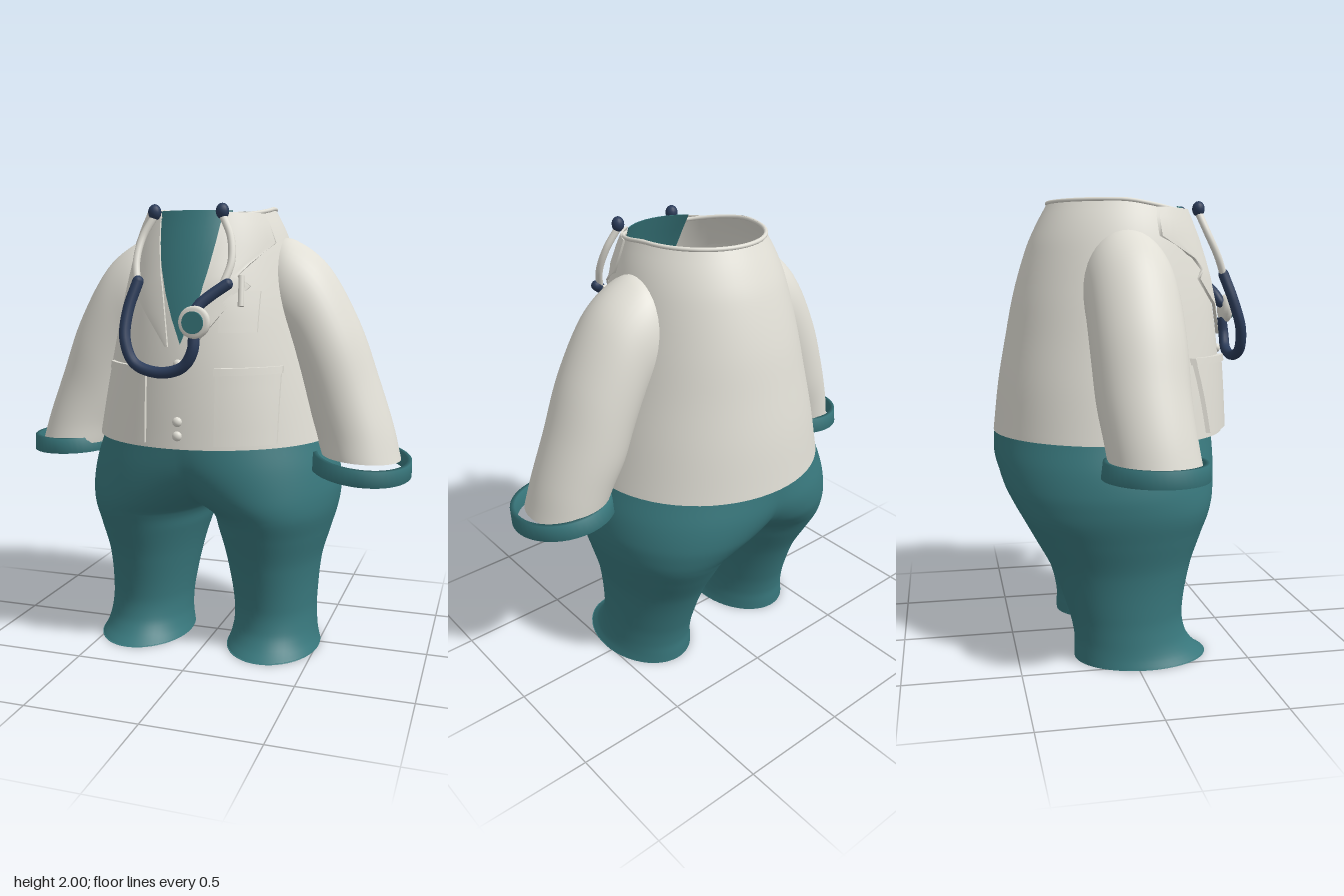
import * as THREE from 'three';
import { mergeGeometries, mergeVertices } from 'three/addons/utils/BufferGeometryUtils.js';

const CX = -0.02; // body centre line
const mat = (name, color) => new THREE.MeshStandardMaterial({ name, color, side: THREE.DoubleSide });

// Smooth lookup in rows of [y, value, value, ...]
function sample(rows, y) {
  const n = rows.length - 1;
  y = THREE.MathUtils.clamp(y, rows[0][0], rows[n][0]);
  let i = 0;
  while (i < n - 1 && y > rows[i + 1][0]) i++;
  const h = rows[i + 1][0] - rows[i][0], t = (y - rows[i][0]) / h;
  const slope = (k, c) => {
    const p = rows[Math.max(k - 1, 0)], q = rows[Math.min(k + 1, n)];
    return (q[c] - p[c]) / (q[0] - p[0]);
  };
  return rows[0].slice(1).map((_, j) => {
    const c = j + 1, t2 = t * t, t3 = t2 * t;
    return (2 * t3 - 3 * t2 + 1) * rows[i][c] + (t3 - 2 * t2 + t) * h * slope(i, c)
      + (3 * t2 - 2 * t3) * rows[i + 1][c] + (t3 - t2) * h * slope(i + 1, c);
  });
}

// Grid surface from fn(u, v) -> [x, y, z]
function surface(nu, nv, fn) {
  const pos = [], idx = [];
  for (let j = 0; j <= nv; j++) for (let i = 0; i <= nu; i++) pos.push(...fn(i / nu, j / nv));
  for (let j = 0; j < nv; j++) for (let i = 0; i < nu; i++) {
    const a = j * (nu + 1) + i, b = a + nu + 1;
    idx.push(a, a + 1, b, b, a + 1, b + 1);
  }
  const g = new THREE.BufferGeometry();
  g.setAttribute('position', new THREE.Float32BufferAttribute(pos, 3));
  g.setIndex(idx);
  return g;
}
function smooth(g) {
  g = mergeVertices(g, 1e-4);
  g.computeVertexNormals();
  return g;
}

// Coat sections: y, half width, front z, back z
const COAT = [
  [0.98, 0.545, 0.48, -0.57], [1.2, 0.5, 0.47, -0.545], [1.4, 0.455, 0.455, -0.51], [1.6, 0.41, 0.425, -0.47],
  [1.8, 0.36, 0.37, -0.41], [1.9, 0.325, 0.335, -0.365], [2, 0.275, 0.3, -0.31],
];
function coatPoint(phi, y) {
  const [a, f, b] = sample(COAT, y);
  return [CX + a * Math.sin(phi), y, (f + b) / 2 + (f - b) / 2 * Math.cos(phi)];
}
function frontZ(x, y) {
  const [a, f, b] = sample(COAT, y);
  return (f + b) / 2 + (f - b) / 2 * Math.sqrt(Math.max(0.05, 1 - ((x - CX) / a) ** 2));
}
const NECK = 10 * Math.PI / 64; // half angle of the neckline opening
function coatTop(phi) {
  const p = Math.min(phi, 2 * Math.PI - phi);
  if (p < NECK) return 1.42 + 0.53 * p / NECK;
  return 1.95 + 0.05 * Math.min(1, (p - NECK) / (Math.PI / 2 - NECK));
}

// Thin plate laid over the coat front; rows are [y, x from, x to] off the centre line
function plate(rows, thick, lift, side = 1) {
  const n = rows.length - 1;
  const g = new THREE.BoxGeometry(1, 1, thick, 10, n), p = g.attributes.position;
  for (let i = 0; i < p.count; i++) {
    const [y, x0, x1] = rows[Math.round((p.getY(i) + 0.5) * n)];
    const u = p.getX(i) + 0.5;
    const x = CX + (side > 0 ? x0 + (x1 - x0) * u : -x1 + (x1 - x0) * u);
    p.setXYZ(i, x, y, frontZ(x, y) + lift + p.getZ(i));
  }
  g.computeVertexNormals();
  return g;
}
function rect(x0, x1, y0, y1) {
  return [0, 1, 2, 3, 4].map(i => [y0 + (y1 - y0) * i / 4, x0, x1]);
}

// Trouser sections: y, outer x, inner x (negative above the crotch), front z, back z
const LEG = [
  [0, 0.53, 0.1, 0.34, -0.25], [0.04, 0.515, 0.112, 0.29, -0.25], [0.1, 0.505, 0.12, 0.25, -0.25],
  [0.2, 0.5, 0.115, 0.235, -0.27], [0.4, 0.515, 0.078, 0.27, -0.34], [0.55, 0.555, 0.035, 0.32, -0.42],
  [0.64, 0.58, 0, 0.355, -0.47], [0.7, 0.59, -0.1, 0.38, -0.505], [0.77, 0.592, -0.24, 0.4, -0.54],
  [0.87, 0.575, -0.41, 0.42, -0.565], [0.98, 0.537, -0.537, 0.43, -0.567],
];
function legSide(s) {
  return surface(48, 70, (u, v) => {
    const y = 0.98 * v, [o, i, f, b] = sample(LEG, y);
    const c = (o + i) / 2, a = (o - i) / 2;
    const end = Math.acos(Math.max(-1, -c / a)); // stop at the centre plane
    const t = (1 - 2 * u) * end * s;
    return [CX + s * (c + a * Math.cos(t)), y, (f + b) / 2 + (f - b) / 2 * Math.sin(t)];
  });
}

// Sleeve sections: step, outer x, outer y, inner x, inner y, half depth, z centre
const SLEEVE = [
  [0, 0.16, 1.83, 0.14, 1.64, 0.08, -0.02], [1, 0.27, 1.86, 0.24, 1.45, 0.16, -0.02],
  [2, 0.37, 1.855, 0.32, 1.38, 0.195, -0.015], [3, 0.52, 1.74, 0.36, 1.32, 0.2, -0.01],
  [4, 0.66, 1.5, 0.4, 1.22, 0.2, -0.005], [5, 0.755, 1.25, 0.44, 1.1, 0.195, 0],
  [6, 0.825, 1.05, 0.485, 1, 0.19, 0.015], [7, 0.865, 0.9, 0.515, 0.92, 0.19, 0.03],
];
function sleeve(s) {
  return smooth(surface(40, 42, (u, v) => {
    const [ox, oy, ix, iy, d, z] = sample(SLEEVE, v * 7);
    const t = u * Math.PI * 2 * s, k = (1 + Math.cos(t)) / 2;
    return [s * (ix + (ox - ix) * k) - 0.008, iy + (oy - iy) * k, z + d * Math.sin(t)];
  }));
}

export function createModel() {
  const model = new THREE.Group();
  const white = mat('coat white', 0xe0ded5), teal = mat('scrub teal', 0x38777c), navy = mat('tubing navy', 0x2b3c5a);
  const add = (name, geo, m, x = 0, y = 0, z = 0) => {
    const mesh = new THREE.Mesh(geo, m);
    mesh.name = name;
    mesh.position.set(x, y, z);
    model.add(mesh);
    return mesh;
  };
  const tube = (name, pts, r, m) => add(name, new THREE.TubeGeometry(
    new THREE.CatmullRomCurve3(pts.map(p => new THREE.Vector3(...p))), 48, r, 12), m);

  // Trousers with closed leg bottoms
  add('trousers', smooth(mergeGeometries([legSide(1), legSide(-1)])), teal);
  for (const s of [1, -1]) {
    const sole = add('legBottom', new THREE.CircleGeometry(1, 40), teal, CX + s * 0.315, 0.004, 0.045);
    sole.rotation.x = Math.PI / 2;
    sole.scale.set(0.215, 0.295, 1);
  }

  // Coat body, neck rim and shirt
  add('coatBody', smooth(surface(64, 36, (u, v) => {
    const phi = u * Math.PI * 2;
    return coatPoint(phi, 0.98 + (coatTop(phi) - 0.98) * v);
  })), white);
  const rim = [];
  for (let i = 0; i <= 32; i++) {
    const phi = NECK + (2 * Math.PI - 2 * NECK) * i / 32;
    rim.push(coatPoint(phi, coatTop(phi) - 0.008));
  }
  tube('neckRim', rim, 0.009, white);
  add('shirt', plate([[1.38, -0.03, 0.03], [1.5, -0.08, 0.08], [1.65, -0.12, 0.12], [1.8, -0.15, 0.15],
    [1.9, -0.16, 0.16], [1.975, -0.165, 0.165]], 0.006, -0.012), teal);

  // Lapels, pockets and sleeves
  const lapel = [[1.41, 0.05, 0.06], [1.55, 0.07, 0.17], [1.66, 0.09, 0.265], [1.7, 0.1, 0.215],
    [1.75, 0.11, 0.255], [1.84, 0.125, 0.325], [1.92, 0.135, 0.295], [1.965, 0.14, 0.27]];
  for (const s of [1, -1]) {
    add('lapel', plate(lapel, 0.014, 0.014, s), white);
    add('lowerPocket', plate(rect(0.155, 0.39, 1, 1.305), 0.02, 0.01, s), white);
    add('pocketFlap', plate(rect(0.15, 0.395, 1.295, 1.325), 0.028, 0.014, s), white);
    add('sleeve', sleeve(s), white);
  }
  add('chestPocket', plate(rect(0.16, 0.3, 1.47, 1.64), 0.016, 0.008), white);
  const pen = add('pen', new THREE.CylinderGeometry(0.013, 0.013, 0.13, 10), white, 0.215, 1.64, frontZ(0.215, 1.64) + 0.02);
  pen.rotation.set(-0.25, 0, 0.06);

  // Cuffs
  const band = [[0.9, -0.035], [1, -0.035], [0.97, 0.035], [0.88, 0.035], [0.9, -0.035]].map(p => new THREE.Vector2(...p));
  const cuff = (name, x, y, z, rx, rz, tiltX, tiltZ) => {
    const c = add(name, new THREE.LatheGeometry(band, 48), teal, x, y, z);
    c.scale.set(rx, 1, rz);
    c.rotation.set(tiltX, 0, tiltZ);
  };
  cuff('rightCuff', -0.72, 0.912, 0.025, 0.195, 0.22, 0.02, 0.02);
  cuff('leftCuff', 0.687, 0.888, 0.055, 0.224, 0.245, 0.1, -0.1);

  // Buttons
  for (const y of [1.34, 1.1, 1.04]) {
    add('button', new THREE.SphereGeometry(0.021, 16, 12), white, CX, y, frontZ(CX, y) + 0.018).scale.z = 0.8;
  }

  // Stethoscope
  for (const x of [-0.17, 0.13]) {
    add('earTip', new THREE.SphereGeometry(0.028, 16, 12), navy, x, 1.966, 0.34).scale.y = 1.2;
  }
  tube('rightEarTube', [[-0.17, 1.95, 0.34], [-0.215, 1.86, 0.37], [-0.225, 1.76, 0.415], [-0.205, 1.66, 0.455]], 0.016, white);
  tube('leftEarTube', [[0.13, 1.95, 0.34], [0.175, 1.86, 0.37], [0.19, 1.76, 0.41], [0.165, 1.66, 0.455]], 0.016, white);
  const hose = [[-0.205, 1.68, 0.45], [-0.235, 1.56, 0.49], [-0.235, 1.44, 0.525], [-0.19, 1.345, 0.535],
    [-0.08, 1.31, 0.535], [0.02, 1.335, 0.535], [0.065, 1.4, 0.54], [0.07, 1.48, 0.53]];
  const branch = [[0.06, 1.55, 0.52], [0.085, 1.59, 0.5], [0.13, 1.63, 0.475], [0.185, 1.67, 0.45]];
  tube('hose', hose, 0.024, navy);
  tube('hoseBranch', branch, 0.024, navy);
  for (const p of [hose[0], branch[0], branch[3]]) add('hoseEnd', new THREE.SphereGeometry(0.024, 12, 10), navy, ...p);
  const disc = [[0, -0.025], [0.05, -0.025], [0.066, -0.008], [0.066, 0.008], [0.055, 0.02], [0, 0.022]];
  add('chestPiece', new THREE.LatheGeometry(disc.map(p => new THREE.Vector2(...p)), 32), white, 0.078, 1.52, 0.55).rotation.x = Math.PI / 2;
  add('chestPieceFace', new THREE.CylinderGeometry(0.045, 0.045, 0.009, 32), teal, 0.078, 1.52, 0.575).rotation.x = Math.PI / 2;
  return model;
}
